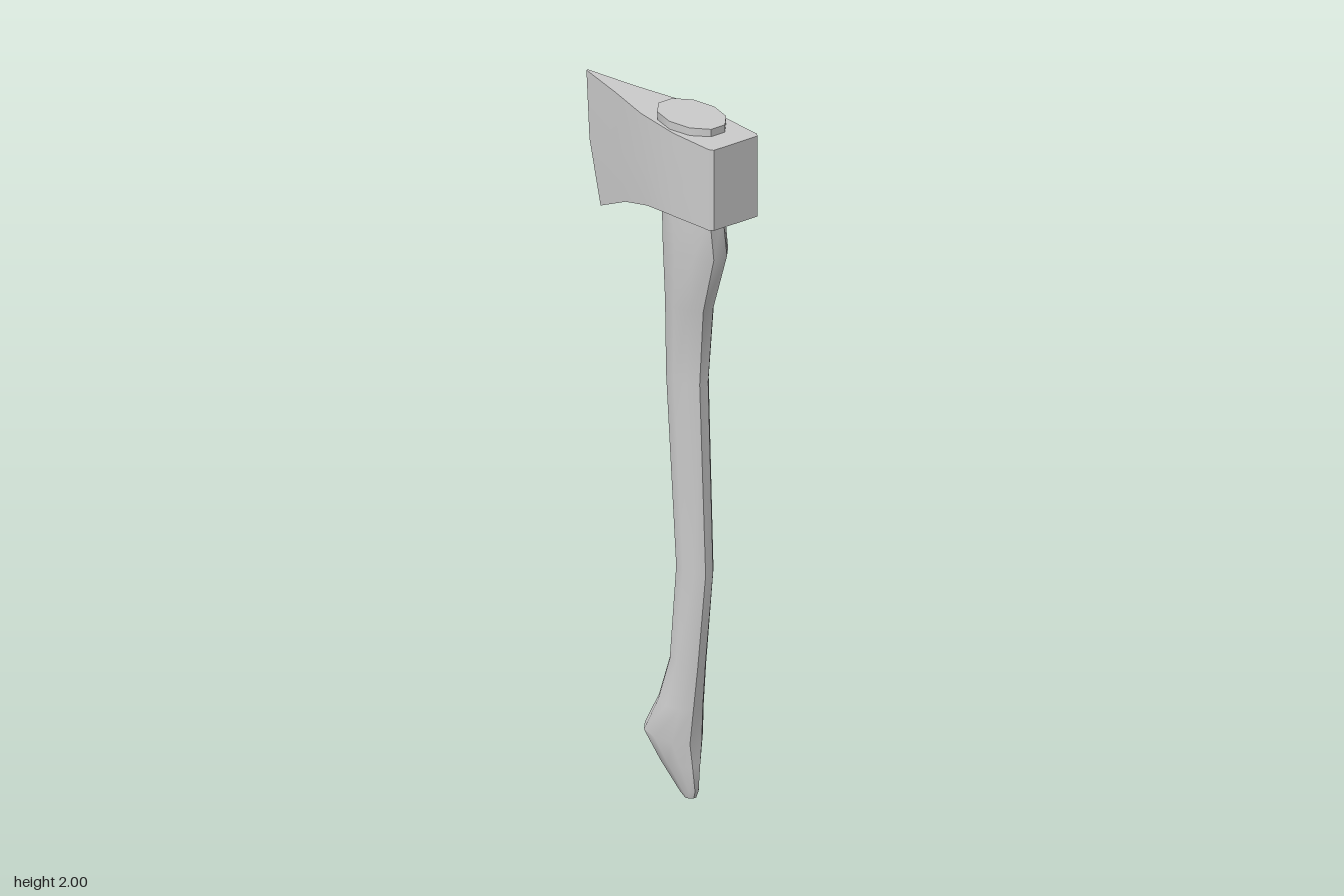
import * as THREE from 'three';
import { toCreasedNormals } from 'three/addons/utils/BufferGeometryUtils.js';

// Skin a list of equal-length rings and close both ends with fans.
function loft(rings, crease) {
  const n = rings[0].length, last = rings.length - 1;
  const pos = rings.flat(2), idx = [];
  for (let i = 0; i < last; i++) {
    for (let j = 0; j < n; j++) {
      const k = (j + 1) % n;
      const a = i * n + j, b = i * n + k, c = b + n, d = a + n;
      idx.push(a, b, c, a, c, d);
    }
  }
  for (const i of [0, last]) {
    const centre = pos.length / 3;
    for (let c = 0; c < 3; c++) pos.push(rings[i].reduce((s, p) => s + p[c], 0) / n);
    for (let j = 0; j < n; j++) {
      const a = i * n + j, b = i * n + (j + 1) % n;
      if (i === 0) idx.push(centre, b, a);
      else idx.push(centre, a, b);
    }
  }
  const geometry = new THREE.BufferGeometry();
  geometry.setAttribute('position', new THREE.Float32BufferAttribute(pos, 3));
  geometry.setIndex(idx);
  return toCreasedNormals(geometry, crease);
}

// Ten-sided section between two x limits; tilt raises the +x side.
function handleRing([y, x0, x1, halfZ, tilt = 0]) {
  const ring = [], cx = (x0 + x1) / 2, reach = Math.cos(Math.PI / 10);
  for (let j = 0; j < 10; j++) {
    const a = Math.PI / 10 + j * Math.PI / 5;
    const u = Math.cos(a) / reach;
    ring.push([cx + u * (x1 - x0) / 2, y + u * tilt, -halfZ * Math.sin(a)]);
  }
  return ring;
}

// Section across the head: three heights down one side, three up the other.
function headRing([halfZ, top, middle, bottom]) {
  const side = [top, middle, bottom];
  return [
    ...side.map(([x, y]) => [x, y, halfZ]),
    ...side.reverse().map(([x, y]) => [x, y, -halfZ]),
  ];
}

export function createModel() {
  const group = new THREE.Group();
  const material = new THREE.MeshStandardMaterial({ color: 0xcccccc });
  const add = (name, geometry) => {
    const mesh = new THREE.Mesh(geometry, material);
    mesh.name = name;
    group.add(mesh);
  };

  // Curved handle, from the pointed knob up through the eye: y, x0, x1, halfZ, tilt
  add('handle', loft([
    [0.003, 0.105, 0.142, 0.013, 0.003],
    [0.02, 0.088, 0.15, 0.02, 0.008],
    [0.095, 0.01, 0.148, 0.042, 0.005],
    [0.17, -0.045, 0.146, 0.066],
    [0.27, 0.01, 0.155, 0.052],
    [0.4, 0.055, 0.17, 0.042],
    [0.68, 0.08, 0.203, 0.041],
    [1.23, 0.04, 0.18, 0.047],
    [1.45, 0.04, 0.198, 0.055],
    [1.62, 0.038, 0.25, 0.073],
    [1.74, 0.036, 0.232, 0.072],
    [2, 0.016, 0.24, 0.077],
  ].map(handleRing), 0.6));

  // Wedge-shaped head, from cutting edge to poll: halfZ, then x,y at three heights
  add('axeHead', loft([
    [0.003, [-0.315, 1.975], [-0.302, 1.78], [-0.255, 1.6]],
    [0.034, [-0.155, 1.975], [-0.14, 1.81], [-0.11, 1.67]],
    [0.07, [0, 1.976], [0.01, 1.84], [0.025, 1.716]],
    [0.086, [0.155, 1.977], [0.155, 1.85], [0.155, 1.735]],
    [0.083, [0.302, 1.979], [0.302, 1.86], [0.302, 1.743]],
    [0.075, [0.315, 1.979], [0.315, 1.86], [0.315, 1.744]],
  ].map(headRing), 0.5));

  return group;
}
